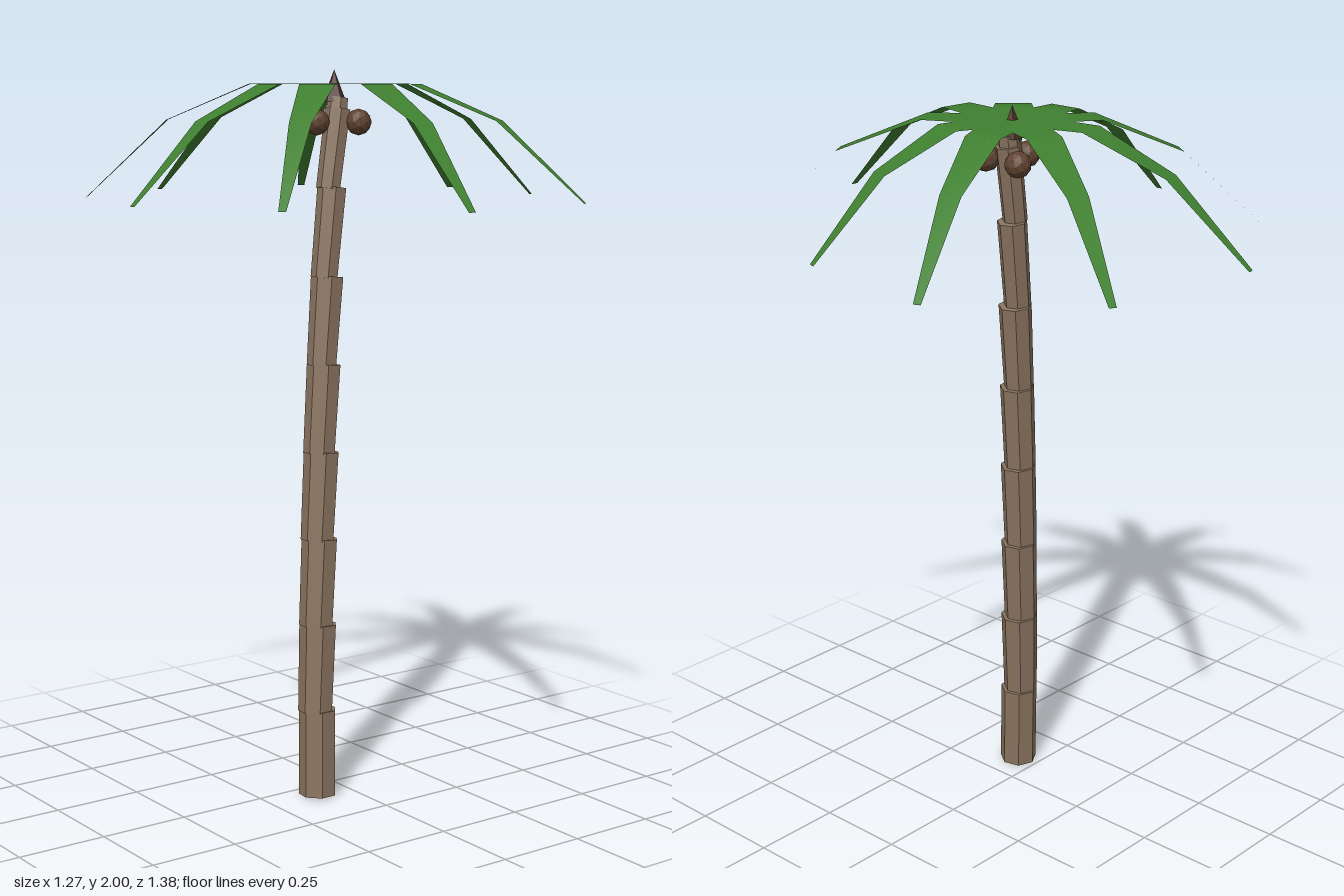
import * as THREE from 'three';

const barkMat = new THREE.MeshStandardMaterial({ name: 'bark', color: 0x8a7460, flatShading: true });
const leafMat = new THREE.MeshStandardMaterial({ name: 'leaf green', color: 0x3f7f30, side: THREE.DoubleSide });
const nutMat = new THREE.MeshStandardMaterial({ name: 'coconut brown', color: 0x5f4230, flatShading: true });
const budMat = new THREE.MeshStandardMaterial({ name: 'dark bud', color: 0x4c2e24, flatShading: true });

const CROWN = new THREE.Vector3(0.015, 1.962, -0.018);

// Tapered trunk piece running from one point to another
function trunkSegment(from, to, rBottom, rTop) {
  const axis = to.clone().sub(from);
  const geo = new THREE.CylinderGeometry(rTop, rBottom, axis.length(), 7);
  geo.rotateY(0.52);
  const mesh = new THREE.Mesh(geo, barkMat);
  mesh.position.copy(from).add(to).multiplyScalar(0.5);
  mesh.quaternion.setFromUnitVectors(new THREE.Vector3(0, 1, 0), axis.normalize());
  mesh.name = 'trunkSegment';
  return mesh;
}

// Drooping frond along +x: centre point, then rows of two vertices
function frond(length) {
  const notch = 0.147, notchHalf = 0.054, tipHalf = 0.01;
  const rows = [[notch, 0], [length / 3, 0], [length * 2 / 3, -0.096], [length, -0.307]];
  const pos = [0, 0, 0], index = [0, 1, 2];
  rows.forEach(([r, y], i) => {
    const half = THREE.MathUtils.mapLinear(r, notch, length, notchHalf, tipHalf);
    pos.push(r, y, half, r, y, -half);
    if (i > 0) {
      const a = i * 2 - 1;
      index.push(a, a + 2, a + 1, a + 1, a + 2, a + 3);
    }
  });
  const geo = new THREE.BufferGeometry();
  geo.setAttribute('position', new THREE.Float32BufferAttribute(pos, 3));
  geo.setIndex(index);
  geo.computeVertexNormals();
  return geo;
}

export function createModel() {
  const model = new THREE.Group();
  model.name = 'palmTree';

  // Trunk: stacked pieces, each leaning a little more than the one below
  // Rows: bottom x, top x, bottom radius, top radius, top y
  const trunk = new THREE.Group();
  trunk.name = 'trunk';
  const pieces = [
    [-0.099, -0.092, 0.053, 0.053, 0.245],
    [-0.099, -0.083, 0.049, 0.053, 0.487],
    [-0.090, -0.071, 0.048, 0.051, 0.726],
    [-0.079, -0.058, 0.047, 0.050, 0.966],
    [-0.066, -0.043, 0.045, 0.048, 1.206],
    [-0.051, -0.025, 0.042, 0.046, 1.445],
    [-0.036, -0.003, 0.038, 0.041, 1.685],
    [-0.016, 0.022, 0.034, 0.036, 1.895],
    [0.018, 0.024, 0.030, 0.028, 1.925],
  ];
  const zAt = (y) => THREE.MathUtils.mapLinear(y, 0, 1.92, 0.064, -0.006);
  let y = 0.003;
  for (const [x0, x1, r0, r1, yTop] of pieces) {
    trunk.add(trunkSegment(new THREE.Vector3(x0, y, zAt(y)), new THREE.Vector3(x1, yTop, zAt(yTop)), r0, r1));
    y = yTop - 0.004;
  }
  model.add(trunk);

  // Crown: nine fronds of varied length, evenly spaced
  const crown = new THREE.Group();
  crown.name = 'crown';
  const lengths = [0.585, 0.707, 0.716, 0.612, 0.65, 0.677, 0.685, 0.69, 0.664];
  lengths.forEach((length, i) => {
    const mesh = new THREE.Mesh(frond(length), leafMat);
    mesh.name = 'frond';
    mesh.rotation.y = -THREE.MathUtils.degToRad(18 + i * 40);
    crown.add(mesh);
  });
  crown.position.copy(CROWN);
  model.add(crown);

  // Pointed bud through the middle of the crown
  const bud = new THREE.Mesh(new THREE.ConeGeometry(0.034, 0.085, 5), budMat);
  bud.name = 'bud';
  bud.position.set(0.015, 1.9575, -0.014);
  model.add(bud);

  // Coconuts hanging around the trunk top
  for (const [x, z] of [[0.06, 0.036], [0.06, -0.075], [-0.045, -0.012]]) {
    const nut = new THREE.Mesh(new THREE.IcosahedronGeometry(0.036, 1), nutMat);
    nut.name = 'coconut';
    nut.position.set(x, 1.86, z);
    model.add(nut);
  }
  return model;
}
